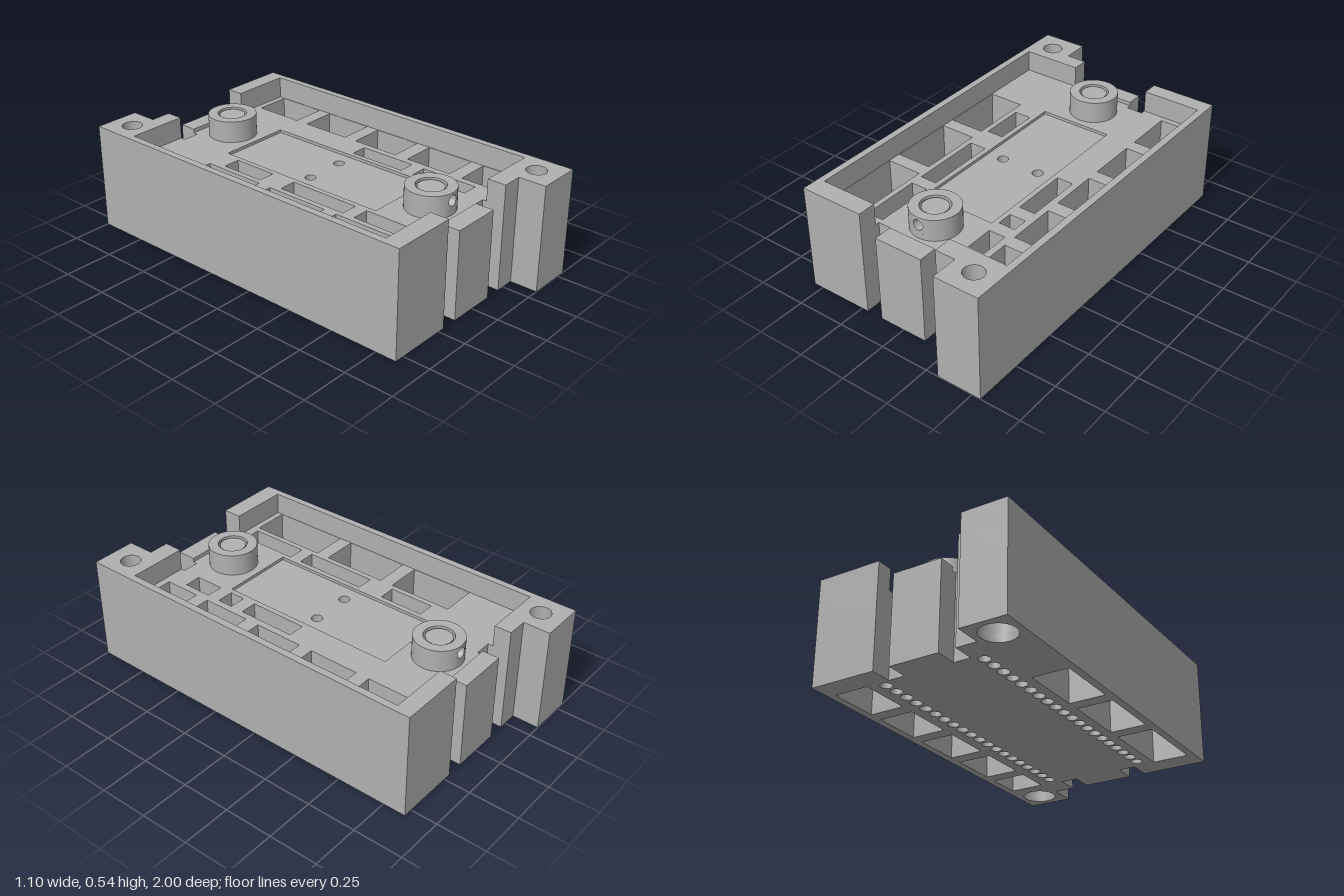
import * as THREE from 'three';
import { toCreasedNormals } from 'three/addons/utils/BufferGeometryUtils.js';

const grey = new THREE.MeshStandardMaterial({ color: 0xb0b0b0 });
grey.name = 'grey';

// Plan outlines are given as [x, z] points
const poly = (pts) => pts.map(([x, z]) => new THREE.Vector2(x, z));
const rect = (x0, x1, z0, z1) => new THREE.Path(poly([[x0, z0], [x1, z0], [x1, z1], [x0, z1]]));
const circle = (x, z, r) => new THREE.Path().absarc(x, z, r, 0, Math.PI * 2);

function addMesh(group, name, geometry) {
  const mesh = new THREE.Mesh(toCreasedNormals(geometry, 0.6), grey);
  mesh.name = name;
  group.add(mesh);
  return mesh;
}

// Horizontal slab between heights y0 and y1
function slab(group, name, outline, holes, y0, y1) {
  const shape = new THREE.Shape(poly(outline));
  shape.holes = holes;
  const geo = new THREE.ExtrudeGeometry(shape, { depth: y1 - y0, bevelEnabled: false, curveSegments: 10 });
  geo.rotateX(Math.PI / 2).translate(0, y1, 0);
  return addMesh(group, name, geo);
}

const FLOOR = 0.43, TOP = 0.54, PITCH = 0.0735;

// Notch in an end face, with a narrow slot behind it for the bored plug
function notch(xa, xb, zEdge, zBack) {
  const c = (xa + xb) / 2, s = Math.sign(xb - xa) * 0.035;
  const deep = zBack - Math.sign(zBack) * 0.08;
  return [[xa, zEdge], [xa, zBack], [c - s, zBack], [c - s, deep],
    [c + s, deep], [c + s, zBack], [xb, zBack], [xb, zEdge]];
}

const outline = [
  [-0.55, -1], [-0.32, -1], [-0.32, -0.865],
  ...notch(-0.215, -0.13, -0.865, -0.755), ...notch(0.125, 0.21, -0.865, -0.755),
  [0.545, -0.865], [0.545, 1], [0.315, 1], [0.315, 0.86],
  ...notch(0.21, 0.125, 0.86, 0.745), ...notch(-0.13, -0.215, 0.86, 0.745),
  [-0.55, 0.86],
];

const pocketsLeft = [[-0.455, -0.13], [-0.06, 0.27], [0.34, 0.735]];
const pocketsRight = [[-0.75, -0.495], [-0.425, -0.17], [-0.1, 0.15], [0.225, 0.475], [0.545, 0.73]];
const wellsLeft = [[-0.38, -0.15], [-0.016, 0.355], [0.42, 0.72]];
const wellsRight = [[-0.016, 0.28], [0.35, 0.43], [0.5, 0.645]];

// Openings that run through the whole body
const through = () => [
  ...pocketsLeft.map(([a, b]) => rect(-0.513, -0.33, a, b)),
  ...pocketsRight.map(([a, b]) => rect(0.33, 0.507, a, b)),
  circle(-0.435, -0.885, 0.085), circle(0.43, 0.88, 0.085),
];

// Two rows of pin holes
function pins(r) {
  const list = [];
  for (const x of [-0.258, 0.253]) {
    for (let i = 0; i < 20; i++) list.push(circle(x, 0.682 - i * PITCH, r));
  }
  return list;
}

const wells = () => [
  ...wellsLeft.map(([a, b]) => rect(-0.303, -0.216, a, b)),
  ...wellsRight.map(([a, b]) => rect(0.211, 0.296, a, b)),
];

// Round post with a ring groove on top and a side bore facing +z
function boss(name) {
  const post = new THREE.Group();
  post.name = name;
  const gap = 0.3, R = 0.12, r = 0.072;
  const ring = poly([[R, FLOOR], [R, TOP], [r, TOP], [r, 0.47]]);
  addMesh(post, 'bossRing', new THREE.LatheGeometry(ring, 44, gap, Math.PI * 2 - gap * 2));
  const plug = poly([[r, 0.47], [0.063, 0.47], [0.063, 0.533], [0, 0.533]]);
  addMesh(post, 'bossPlug', new THREE.LatheGeometry(plug, 40));

  // Wall section with the bore, bent round the post
  const w = gap * R;
  const wall = new THREE.Shape(poly([
    [-w, FLOOR], [-w / 2, FLOOR], [0, FLOOR], [w / 2, FLOOR], [w, FLOOR],
    [w, TOP], [w / 2, TOP], [0, TOP], [-w / 2, TOP], [-w, TOP],
  ]));
  wall.holes.push(circle(0, 0.5, 0.027));
  const geo = new THREE.ExtrudeGeometry(wall, { depth: R - r, bevelEnabled: false, curveSegments: 12 });
  const p = geo.attributes.position;
  for (let i = 0; i < p.count; i++) {
    const a = p.getX(i) / R, d = r + p.getZ(i);
    p.setXYZ(i, d * Math.sin(a), p.getY(i), d * Math.cos(a));
  }
  geo.computeVertexNormals();
  addMesh(post, 'bossBoredWall', geo);
  return post;
}

export function createModel() {
  const model = new THREE.Group();
  model.name = 'housing';

  // Body, in layers from the bottom up
  slab(model, 'baseLayer', outline, [...through(), ...pins(0.029)], 0, 0.04);
  slab(model, 'pinLayer', outline, [...through(), ...pins(0.021)], 0.04, 0.3);
  slab(model, 'wellLayer', outline,
    [...through(), ...wells(), circle(-0.105, -0.012, 0.027), circle(0.1, -0.012, 0.027)], 0.3, 0.415);
  slab(model, 'floorLayer', outline,
    [...through(), ...wells(), rect(-0.19, 0.185, -0.475, 0.45)], 0.415, FLOOR);

  // Raised rim on both sides, each with a mounting hole in its tab
  slab(model, 'rightRim', [
    [-0.55, -1], [-0.32, -1], [-0.32, -0.865], [-0.215, -0.865], [-0.215, -0.78], [-0.515, -0.78],
    [-0.515, 0.765], [-0.215, 0.765], [-0.215, 0.86], [-0.55, 0.86],
  ], [circle(-0.435, -0.885, 0.05)], FLOOR, TOP);
  slab(model, 'leftRim', [
    [0.545, 1], [0.315, 1], [0.315, 0.86], [0.21, 0.86], [0.21, 0.765], [0.51, 0.765],
    [0.51, -0.78], [0.21, -0.78], [0.21, -0.865], [0.545, -0.865],
  ], [circle(0.43, 0.88, 0.05)], FLOOR, TOP);

  // Low sills between the notches
  for (const [a, b] of [[0.765, 0.86], [-0.865, -0.78]]) {
    slab(model, 'endSill', [[-0.13, a], [0.125, a], [0.125, b], [-0.13, b]], [], FLOOR, 0.45);
  }

  // Bored plugs behind the notches
  for (const x of [-0.1725, 0.1675]) {
    for (const z of [0.665, -0.755]) {
      const shape = new THREE.Shape(poly([[-0.035, 0], [0.035, 0], [0.035, FLOOR], [-0.035, FLOOR]]));
      shape.holes.push(circle(0, 0.22, 0.028));
      const geo = new THREE.ExtrudeGeometry(shape, { depth: 0.08, bevelEnabled: false, curveSegments: 12 });
      addMesh(model, 'notchPlug', geo.translate(x, 0, z));
    }
  }

  // Posts at both ends, bores facing outward
  const front = boss('frontBoss');
  front.position.z = 0.608;
  const back = boss('backBoss');
  back.position.z = -0.63;
  back.rotation.y = Math.PI;
  model.add(front, back);

  return model;
}
